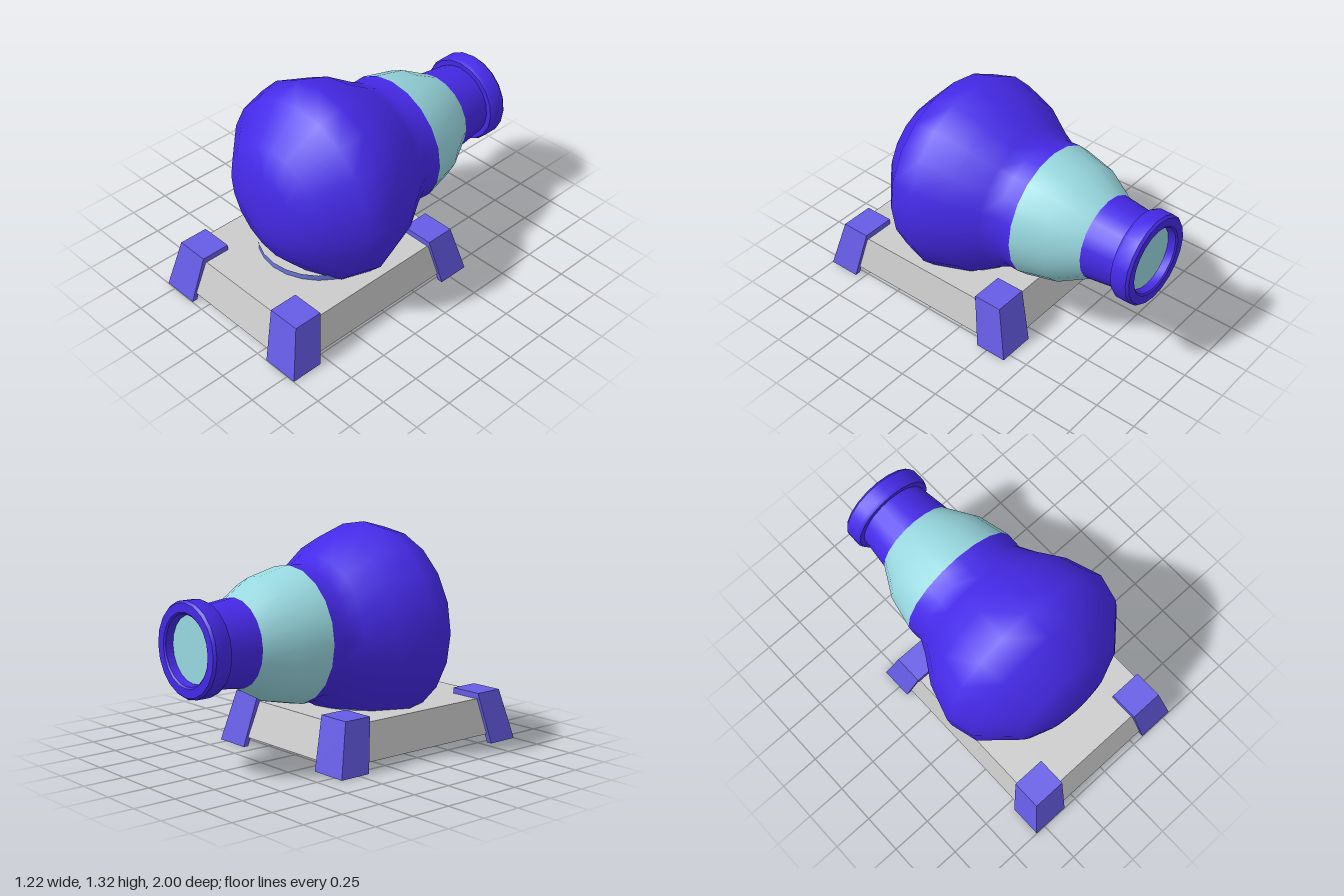
import * as THREE from 'three';
import { toCreasedNormals } from 'three/addons/utils/BufferGeometryUtils.js';

const BLUE = 0x4529e8, TEAL = 0x98d8e0, LEG = 0x665ce6, COLLAR = 0x6a78d8, GREY = 0xcccccc;
const AXIS_Y = 0.713, BASE_Z = 0.31;

function add(parent, name, geometry, color, options = {}) {
  const mesh = new THREE.Mesh(geometry, new THREE.MeshStandardMaterial({ color, ...options }));
  mesh.name = name;
  parent.add(mesh);
  return mesh;
}

// Turned part along z: profile points are [radius, z], from back to front
function turned(points) {
  const g = new THREE.LatheGeometry(points.map(([r, z]) => new THREE.Vector2(r, z)), 20);
  return g.rotateX(Math.PI / 2);
}

// Flat sheets, each given as four corners in loop order
function sheets(quads) {
  const pos = [];
  for (const [a, b, c, d] of quads) pos.push(...a, ...b, ...c, ...a, ...c, ...d);
  const g = new THREE.BufferGeometry();
  g.setAttribute('position', new THREE.Float32BufferAttribute(pos, 3));
  g.computeVertexNormals();
  return g;
}

export function createModel() {
  const model = new THREE.Group();
  const thin = { side: THREE.DoubleSide, flatShading: true };

  // Bottle lying along z
  const bottle = new THREE.Group();
  bottle.name = 'bottle';
  bottle.position.y = AXIS_Y;
  model.add(bottle);

  add(bottle, 'bulb', turned([
    [0.4, -0.29], [0.395, -0.19], [0.44, -0.1], [0.54, 0.06], [0.608, 0.275],
    [0.565, 0.44], [0.365, 0.63], [0.22, 0.69], [0.1, 0.712], [0, 0.712],
  ]), BLUE);
  add(bottle, 'shoulder', turned([[0.255, -0.67], [0.355, -0.49], [0.4, -0.29]]), TEAL);
  add(bottle, 'neck', turned([[0.23, -0.88], [0.255, -0.67]]), BLUE);
  add(bottle, 'rim', toCreasedNormals(turned([
    [0.19, -0.95], [0.2, -0.992], [0.21, -1], [0.26, -1], [0.272, -0.985],
    [0.272, -0.9], [0.262, -0.88], [0.22, -0.88],
  ]), 0.6), BLUE);
  add(bottle, 'mouthDisc', turned([[0, -0.95], [0.19, -0.95]]), TEAL);

  // Low collar that the bulb sits in
  const collar = add(model, 'collar', new THREE.CylinderGeometry(0.37, 0.37, 0.045, 24, 1, true),
    COLLAR, { side: THREE.DoubleSide });
  collar.position.set(0, 0.2825, 0.28);

  // Hollow base
  const base = new THREE.Group();
  base.name = 'base';
  base.position.set(-0.005, 0, BASE_Z);
  model.add(base);

  // Top plate with notched corners for the legs
  const outline = [];
  const corner = [[0.485, 0.43], [0.295, 0.43], [0.295, 0.59]];
  for (const [sx, sz] of [[1, 1], [-1, 1], [-1, -1], [1, -1]]) {
    const pts = corner.map(([x, z]) => new THREE.Vector2(x * sx, z * sz));
    outline.push(...(sx * sz > 0 ? pts : pts.reverse()));
  }
  const plate = new THREE.ShapeGeometry(new THREE.Shape(outline)).rotateX(-Math.PI / 2).translate(0, 0.27, 0);
  add(base, 'topPlate', plate, GREY, thin);

  // Sloping skirt panels between the legs
  const T = 0.27, B = 0.055;
  for (const s of [1, -1]) {
    add(base, s > 0 ? 'frontPanel' : 'backPanel', sheets([[
      [-0.31, T, 0.59 * s], [0.31, T, 0.59 * s], [0.345, B, 0.66 * s], [-0.345, B, 0.66 * s],
    ]]), GREY, thin);
    add(base, s > 0 ? 'leftPanel' : 'rightPanel', sheets([[
      [0.485 * s, T, -0.45], [0.485 * s, T, 0.45], [0.53 * s, B, 0.5], [0.53 * s, B, -0.5],
    ]]), GREY, thin);
  }

  // Hollow splayed corner legs, open underneath
  const H = 0.305;
  for (const sx of [1, -1]) for (const sz of [1, -1]) {
    const p = (x, y, z) => [x * sx, y, z * sz];
    const top = p(0.5, H, 0.61), foot = p(0.56, 0, 0.688);
    const topX = p(0.295, H, 0.61), footX = p(0.33, 0, 0.688);
    const topZ = p(0.5, H, 0.43), footZ = p(0.56, 0, 0.49);
    const topIn = p(0.295, H, 0.43);
    add(base, `${sz > 0 ? 'front' : 'back'}${sx > 0 ? 'Left' : 'Right'}Leg`, sheets([
      [top, topX, topIn, topZ],
      [top, topX, footX, foot],
      [top, topZ, footZ, foot],
      // Returns back to the panels
      [topX, p(0.295, H, 0.57), p(0.33, 0, 0.655), footX],
      [topZ, p(0.47, H, 0.43), p(0.525, 0, 0.49), footZ],
      // Lip of the cap resting on the plate
      [topIn, topX, p(0.295, T, 0.61), p(0.295, T, 0.43)],
      [topIn, topZ, p(0.5, T, 0.43), p(0.295, T, 0.43)],
    ]), LEG, thin);
  }

  return model;
}
